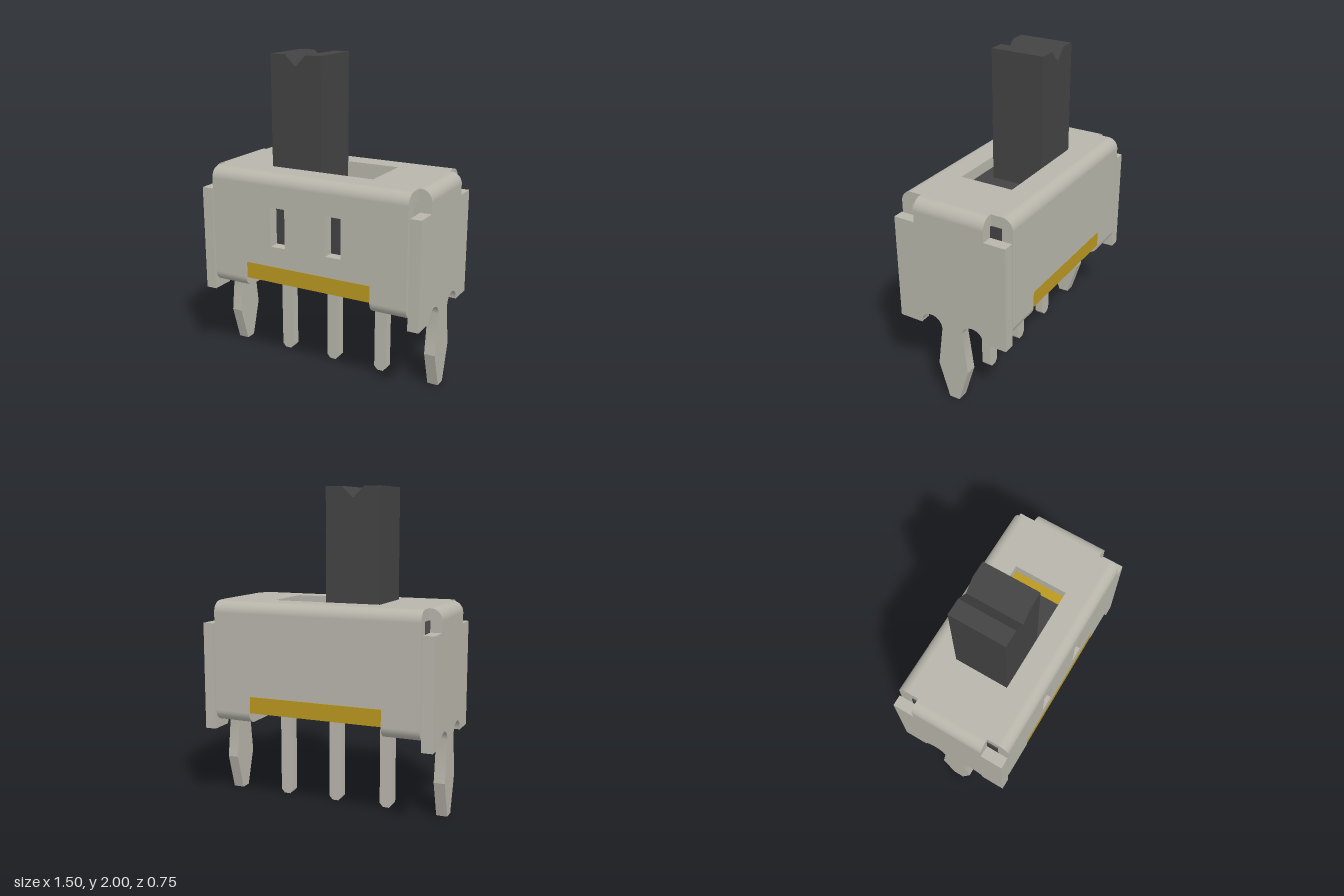
import * as THREE from 'three';
import { toCreasedNormals } from 'three/addons/utils/BufferGeometryUtils.js';

const steel = new THREE.MeshStandardMaterial({ color: 0xb8b6ab });
steel.name = 'plated steel';
const black = new THREE.MeshStandardMaterial({ color: 0x434344 });
black.name = 'black plastic';
const amber = new THREE.MeshStandardMaterial({ color: 0xba9820 });
amber.name = 'amber board';

const T = 0.07; // sheet thickness, also the outer bend radius
const HX = 0.75, HZ = 0.375, TOP = 1.305; // shell half sizes and top height
const WX = 0.67, NZ = 0.235; // half length of long walls, half width of end bends
const BOARD = 0.615, BOARD_TOP = 0.72;

function add(group, name, geometry, material) {
  const mesh = new THREE.Mesh(geometry, material);
  mesh.name = name;
  group.add(mesh);
  return mesh;
}

// Box given by its minimum and maximum corners
function box(x0, x1, y0, y1, z0, z1) {
  return new THREE.BoxGeometry(x1 - x0, y1 - y0, z1 - z0)
    .translate((x0 + x1) / 2, (y0 + y1) / 2, (z0 + z1) / 2);
}

const poly = (points) => new THREE.Shape(points.map(([x, y]) => new THREE.Vector2(x, y)));
const rectHole = (x0, x1, y0, y1) =>
  new THREE.Path([[x0, y0], [x0, y1], [x1, y1], [x1, y0]].map(([x, y]) => new THREE.Vector2(x, y)));
const extrude = (shape, depth) =>
  new THREE.ExtrudeGeometry(shape, { depth, bevelEnabled: false, curveSegments: 12 });

// Quarter-round bend
const quarter = (length, start) =>
  new THREE.CylinderGeometry(T, T, length, 10, 1, false, start, Math.PI / 2);

export function createModel() {
  const model = new THREE.Group();
  model.name = 'slideSwitch';
  const shell = new THREE.Group();
  shell.name = 'shell';
  model.add(shell);

  // Top plate with the slider slot
  const top = poly([
    [-WX, -HZ + T], [WX, -HZ + T], [WX, -NZ], [HX - T, -NZ], [HX - T, NZ], [WX, NZ],
    [WX, HZ - T], [-WX, HZ - T], [-WX, NZ], [-HX + T, NZ], [-HX + T, -NZ], [-WX, -NZ],
  ]);
  top.holes.push(rectHole(-0.35, 0.35, -0.175, 0.175));
  add(shell, 'topPlate', extrude(top, T).rotateX(-Math.PI / 2).translate(0, TOP - T, 0), steel);

  for (const s of [1, -1]) {
    const side = s > 0 ? 'front' : 'back';

    // Long wall, notched for the board; only the front has windows
    const wall = poly([
      [-WX, BOARD], [-0.435, BOARD], [-0.435, BOARD_TOP], [0.435, BOARD_TOP],
      [0.435, BOARD], [WX, BOARD], [WX, TOP - T], [-WX, TOP - T],
    ]);
    if (s > 0) wall.holes.push(rectHole(-0.245, -0.143, 0.85, 1.1), rectHole(0.14, 0.242, 0.85, 1.1));
    add(shell, side + 'Wall', extrude(wall, T).translate(0, 0, s > 0 ? HZ - T : -HZ), steel);
    add(shell, side + 'TopBend', quarter(2 * WX, s > 0 ? 0 : Math.PI / 2)
      .rotateZ(Math.PI / 2).translate(0, TOP - T, s * (HZ - T)), steel);

    // Tabs folded under the board
    for (const e of [1, -1]) {
      const mid = e * (WX + 0.435) / 2, len = WX - 0.435;
      add(shell, side + 'TabBend', quarter(len, s > 0 ? -Math.PI / 2 : Math.PI)
        .rotateZ(Math.PI / 2).translate(mid, BOARD, s * (HZ - T)), steel);
      add(shell, side + 'Tab', new THREE.BoxGeometry(len, T, HZ - T - 0.13)
        .translate(mid, BOARD - T / 2, s * (HZ - T + 0.13) / 2), steel);
    }
  }

  // End plate with shoulders, relief arches and a snap-in leg
  const end = new THREE.Shape();
  end.moveTo(-HZ, 0.49);
  end.lineTo(-0.22, 0.49);
  end.absellipse(-0.145, 0.49, 0.075, 0.075, Math.PI, 0, true);
  end.lineTo(-0.105, 0.23);
  end.lineTo(-0.035, 0);
  end.lineTo(0.035, 0);
  end.lineTo(0.105, 0.23);
  end.lineTo(0.07, 0.49);
  end.absellipse(0.145, 0.49, 0.075, 0.075, Math.PI, 0, true);
  end.lineTo(HZ, 0.49);
  for (const [z, y] of [[HZ, 1.165], [NZ, 1.165], [NZ, TOP - T], [-NZ, TOP - T], [-NZ, 1.165], [-HZ, 1.165]]) {
    end.lineTo(z, y);
  }
  for (const s of [1, -1]) {
    const name = s > 0 ? 'left' : 'right';
    const plate = extrude(end, T).rotateY(Math.PI / 2).translate(s > 0 ? HX - T : -HX, 0, 0);
    add(shell, name + 'EndPlate', toCreasedNormals(plate, 0.4), steel);
    add(shell, name + 'EndBend', quarter(2 * NZ, s > 0 ? Math.PI / 2 : Math.PI)
      .rotateX(Math.PI / 2).translate(s * (HX - T), TOP - T, 0), steel);
  }

  // Terminal board with the wider middle that fills the wall notches
  add(model, 'board', box(-WX, WX, BOARD, BOARD_TOP, -HZ + T, HZ - T), amber);
  for (const s of [1, -1]) {
    add(model, 'boardEdge', new THREE.BoxGeometry(0.856, BOARD_TOP - BOARD - 0.002, T)
      .translate(0, (BOARD + BOARD_TOP) / 2 - 0.001, s * (HZ - T / 2 - 0.002)), amber);
  }

  // Terminal pins with chamfered tips
  const pin = poly([
    [-0.042, BOARD], [-0.042, 0.025], [-0.02, 0], [0.02, 0], [0.042, 0.025], [0.042, BOARD],
  ]);
  for (const x of [-0.348, 0, 0.348]) {
    add(model, 'pin', extrude(pin, 0.06).translate(x, 0, -0.03), steel);
  }

  // Slider carriage and grooved knob
  add(model, 'sliderBase', box(-0.665, 0.315, BOARD_TOP, 1.163, -0.3, 0.3), black);
  const knob = poly([
    [-0.348, 1.16], [0, 1.16], [0, 2], [-0.105, 2], [-0.175, 1.93], [-0.245, 2], [-0.348, 2],
  ]);
  add(model, 'knob', extrude(knob, 0.348).translate(0, 0, -0.174), black);

  return model;
}
